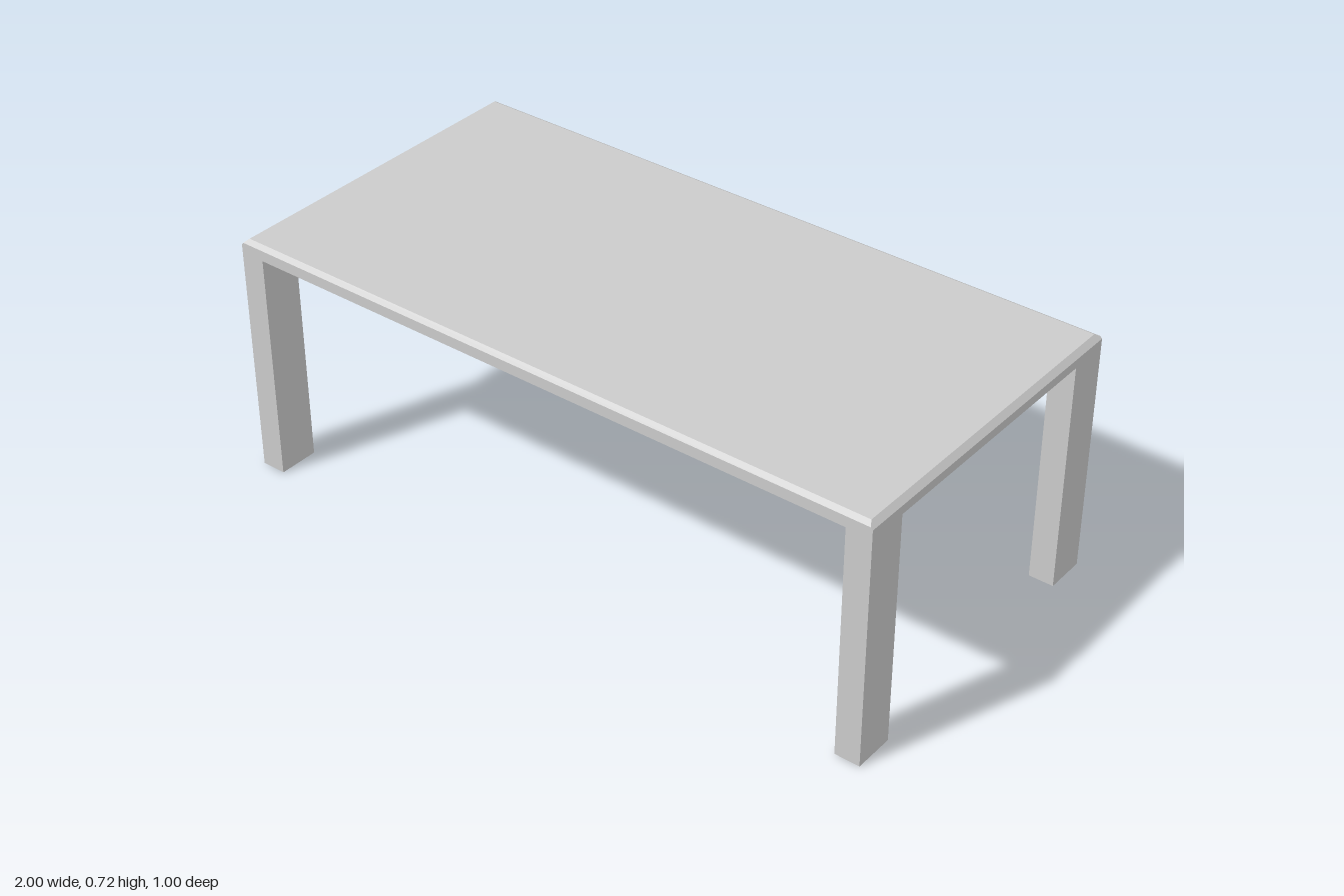
import * as THREE from 'three';
import { ConvexGeometry } from 'three/addons/geometries/ConvexGeometry.js';

export function createModel() {
  const group = new THREE.Group();
  group.name = 'table';
  const material = new THREE.MeshStandardMaterial({ color: 0xcccccc, flatShading: true });
  const underside = 0.68, top = 0.72, halfX = 1, halfZ = 0.5;
  const bevel = 0.015, longDrop = 0.009; // ends bevel at 45 degrees, long edges are shallower

  // One corner of the slab, mirrored to all four; the two bevels meet in a mitre
  const corner = [
    [halfX, underside, halfZ],
    [halfX, top - bevel, halfZ],
    [halfX - bevel + longDrop, top - longDrop, halfZ],
    [halfX - bevel, top, halfZ - bevel],
  ];
  const points = [];
  const legWidth = 0.073, legDepth = 0.12;
  const legGeometry = new THREE.BoxGeometry(legWidth, underside, legDepth);

  for (const sx of [1, -1]) {
    for (const sz of [1, -1]) {
      for (const [x, y, z] of corner) points.push(new THREE.Vector3(sx * x, y, sz * z));

      // Leg flush with the slab's corner
      const leg = new THREE.Mesh(legGeometry, material);
      leg.name = `${sz > 0 ? 'front' : 'back'}${sx > 0 ? 'Left' : 'Right'}Leg`;
      leg.position.set(sx * (halfX - legWidth / 2), underside / 2, sz * (halfZ - legDepth / 2));
      group.add(leg);
    }
  }

  // Bevelled tabletop
  const tabletop = new THREE.Mesh(new ConvexGeometry(points), material);
  tabletop.name = 'tabletop';
  group.add(tabletop);

  return group;
}
